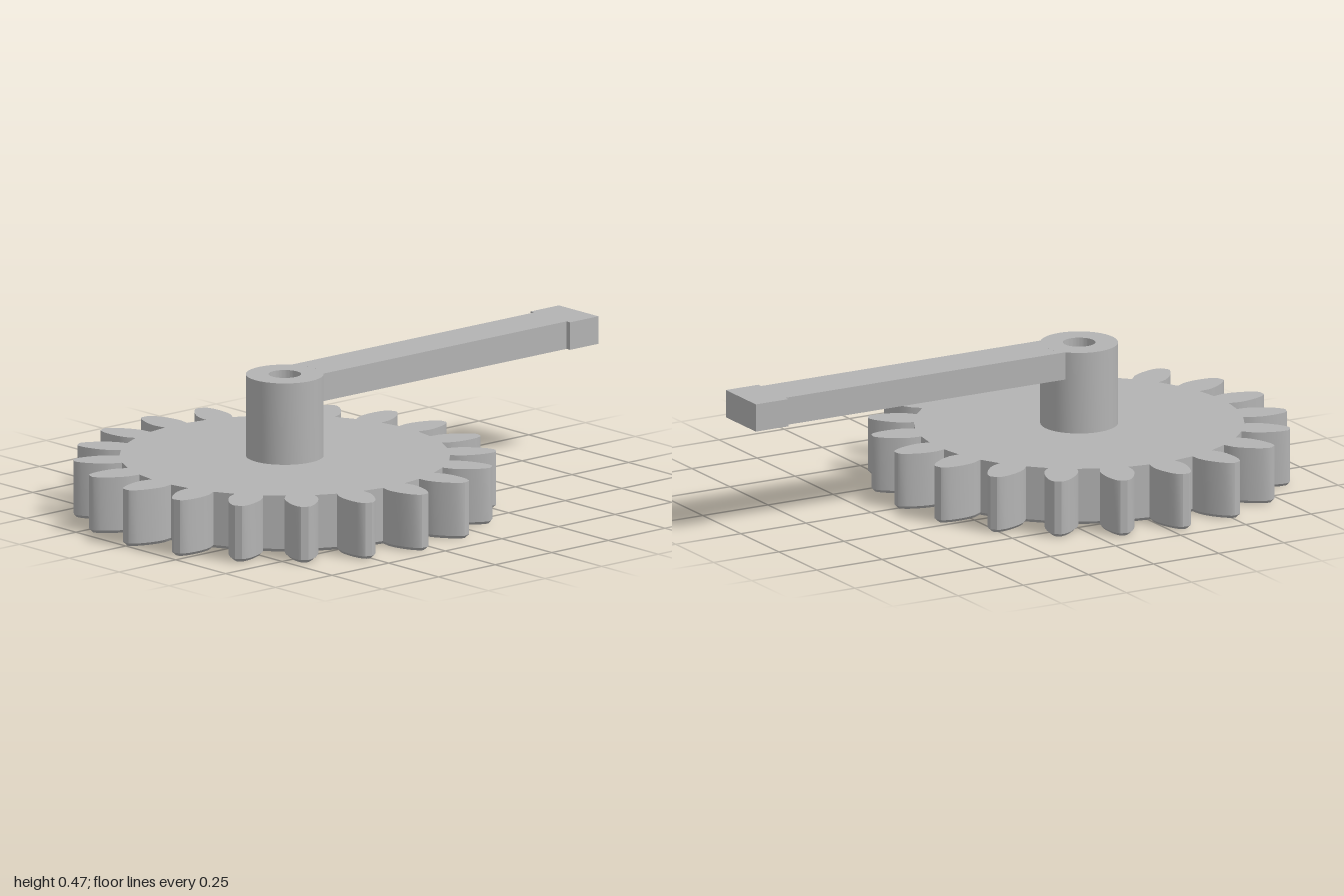
import * as THREE from 'three';
import { toCreasedNormals } from 'three/addons/utils/BufferGeometryUtils.js';

const TEETH = 20, STEP = (Math.PI * 2) / TEETH;
const GEAR_H = 0.193, TOP = 0.471, ARM_Y = 0.377;
const HOLE_R = 0.054, HUB_R = 0.129, CHAMFER = 0.011;

// one flank of a tooth, root to tip: [radius, half width]
const FLANK = [
  [0.548, 0.048], [0.565, 0.052], [0.585, 0.056], [0.61, 0.055], [0.635, 0.05],
  [0.66, 0.042], [0.68, 0.033], [0.697, 0.021], [0.702, 0.012],
];

function addHole(shape) {
  shape.holes.push(new THREE.Path().absarc(0, 0, HOLE_R, 0, Math.PI * 2, true));
  return shape;
}

// extrude a plan shape upwards; plan y points to the back
function extrudeUp(shape, y, height, steps = 1) {
  const geo = new THREE.ExtrudeGeometry(shape, { depth: height, steps, bevelEnabled: false, curveSegments: 32 });
  geo.rotateX(-Math.PI / 2);
  return geo.translate(0, y, 0);
}

function gearGeometry() {
  const points = [];
  for (let i = 0; i < TEETH; i++) {
    const polar = (r, w) => {
      const a = i * STEP + Math.asin(w / r);
      points.push(new THREE.Vector2(r * Math.cos(a), r * Math.sin(a)));
    };
    FLANK.forEach(([r, w]) => polar(r, -w));
    [...FLANK].reverse().forEach(([r, w]) => polar(r, w));
  }
  const geo = extrudeUp(addHole(new THREE.Shape(points)), 0, GEAR_H, 2);

  // lower the middle layer and pull the bottom outline in to form the chamfer
  const p = geo.attributes.position;
  for (let i = 0; i < p.count; i++) {
    const x = p.getX(i), y = p.getY(i), z = p.getZ(i), r = Math.hypot(x, z);
    if (y > 0.01 && y < GEAR_H - 0.01) p.setY(i, CHAMFER);
    if (y < 0.01 && r > 0.3) {
      const a = Math.atan2(z, x), centre = Math.round(a / STEP) * STEP;
      const off = a - centre;
      const pulled = centre + Math.sign(off) * Math.max(0, Math.abs(off) - 0.009 / r);
      p.setX(i, (r - 0.009) * Math.cos(pulled));
      p.setZ(i, (r - 0.009) * Math.sin(pulled));
    }
  }
  return toCreasedNormals(geo, 0.45);
}

export function createModel() {
  const steel = new THREE.MeshStandardMaterial({ color: 0xb3b3b3 });
  steel.name = 'grey steel';
  const model = new THREE.Group();
  model.name = 'gearWithLever';
  const add = (name, geo) => {
    const mesh = new THREE.Mesh(geo, steel);
    mesh.name = name;
    mesh.position.z = 0.298;
    model.add(mesh);
  };

  add('gearWheel', gearGeometry());

  // bored hub standing on the gear
  const hub = addHole(new THREE.Shape().absarc(0, 0, HUB_R, 0, Math.PI * 2, false));
  add('hub', toCreasedNormals(extrudeUp(hub, GEAR_H, TOP - GEAR_H), 0.6));

  // lever arm with its wider end block, cut to the curve of the hub
  const w = 0.081, e = 0.099, neck = 1.173, end = 1.298;
  const a = Math.acos(w / HUB_R);
  const arm = new THREE.Shape();
  arm.moveTo(w, HUB_R * Math.sin(a));
  arm.lineTo(w, neck);
  arm.lineTo(e, neck);
  arm.lineTo(e, end);
  arm.lineTo(-e, end);
  arm.lineTo(-e, neck);
  arm.lineTo(-w, neck);
  arm.lineTo(-w, HUB_R * Math.sin(a));
  arm.absarc(0, 0, HUB_R, Math.PI - a, a, true);
  add('leverArm', toCreasedNormals(extrudeUp(arm, ARM_Y, TOP - ARM_Y), 0.5));

  return model;
}
